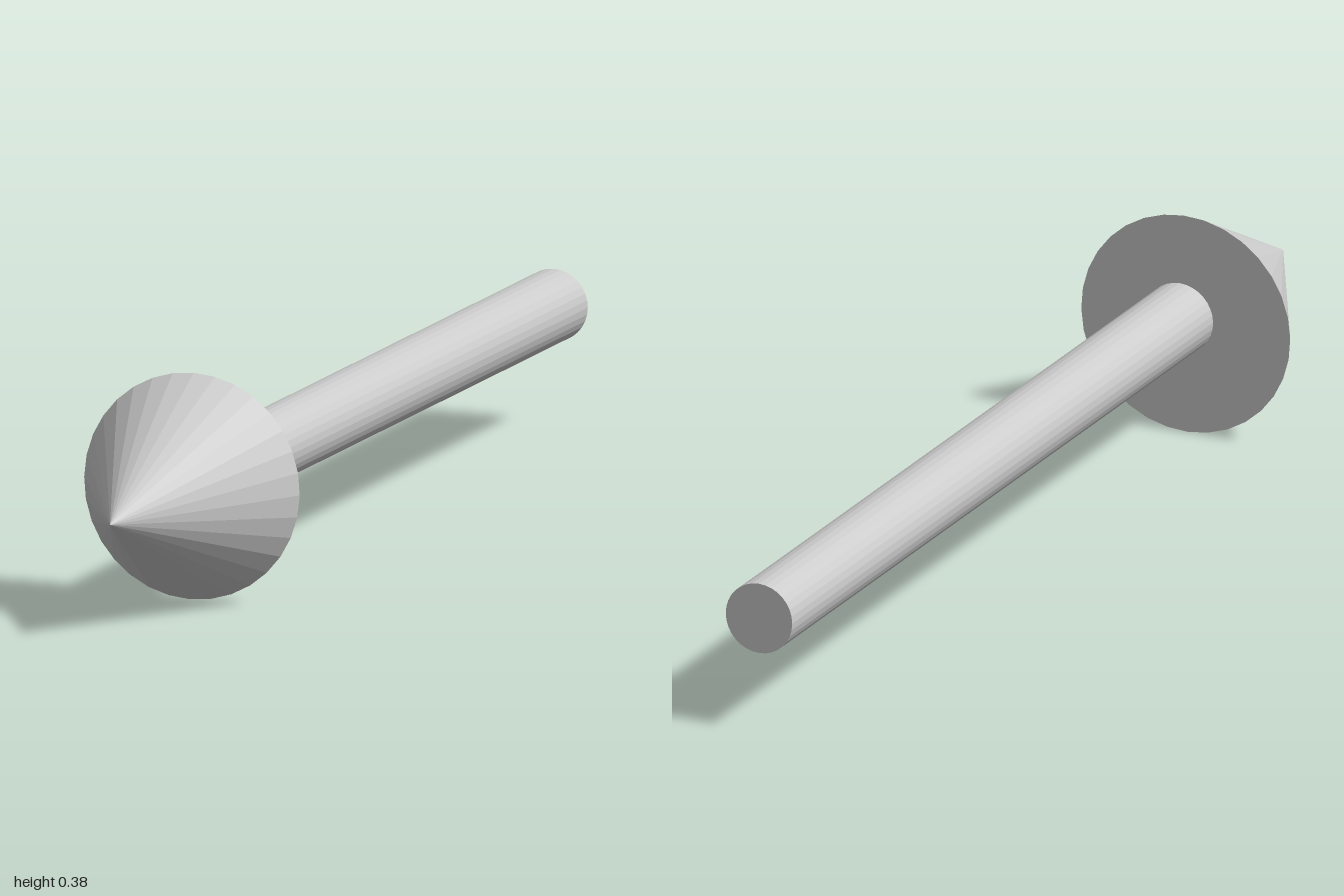
import * as THREE from 'three';

const material = new THREE.MeshStandardMaterial({ color: 0xcccccc, flatShading: true });

// Round part running along the line from start to end
function spanPart(name, start, end, startRadius, endRadius) {
  const axis = end.clone().sub(start);
  const geometry = endRadius > 0
    ? new THREE.CylinderGeometry(endRadius, startRadius, axis.length(), 32)
    : new THREE.ConeGeometry(startRadius, axis.length(), 32);
  const mesh = new THREE.Mesh(geometry, material);
  mesh.name = name;
  mesh.position.copy(start).add(end).multiplyScalar(0.5);
  mesh.quaternion.setFromUnitVectors(new THREE.Vector3(0, 1, 0), axis.normalize());
  return mesh;
}

export function createModel() {
  const model = new THREE.Group();
  model.name = 'arrow';

  // Long shaft, set slightly off the head's centre
  model.add(spanPart('shaft',
    new THREE.Vector3(0.005, 0.199, -1), new THREE.Vector3(0.011, 0.2, 0.625), 0.061, 0.061));

  // Conical head, very slightly turned and raised toward the tip
  model.add(spanPart('arrowHead',
    new THREE.Vector3(0, 0.191, 0.618), new THREE.Vector3(0.005, 0.196, 1), 0.191, 0));

  return model;
}
